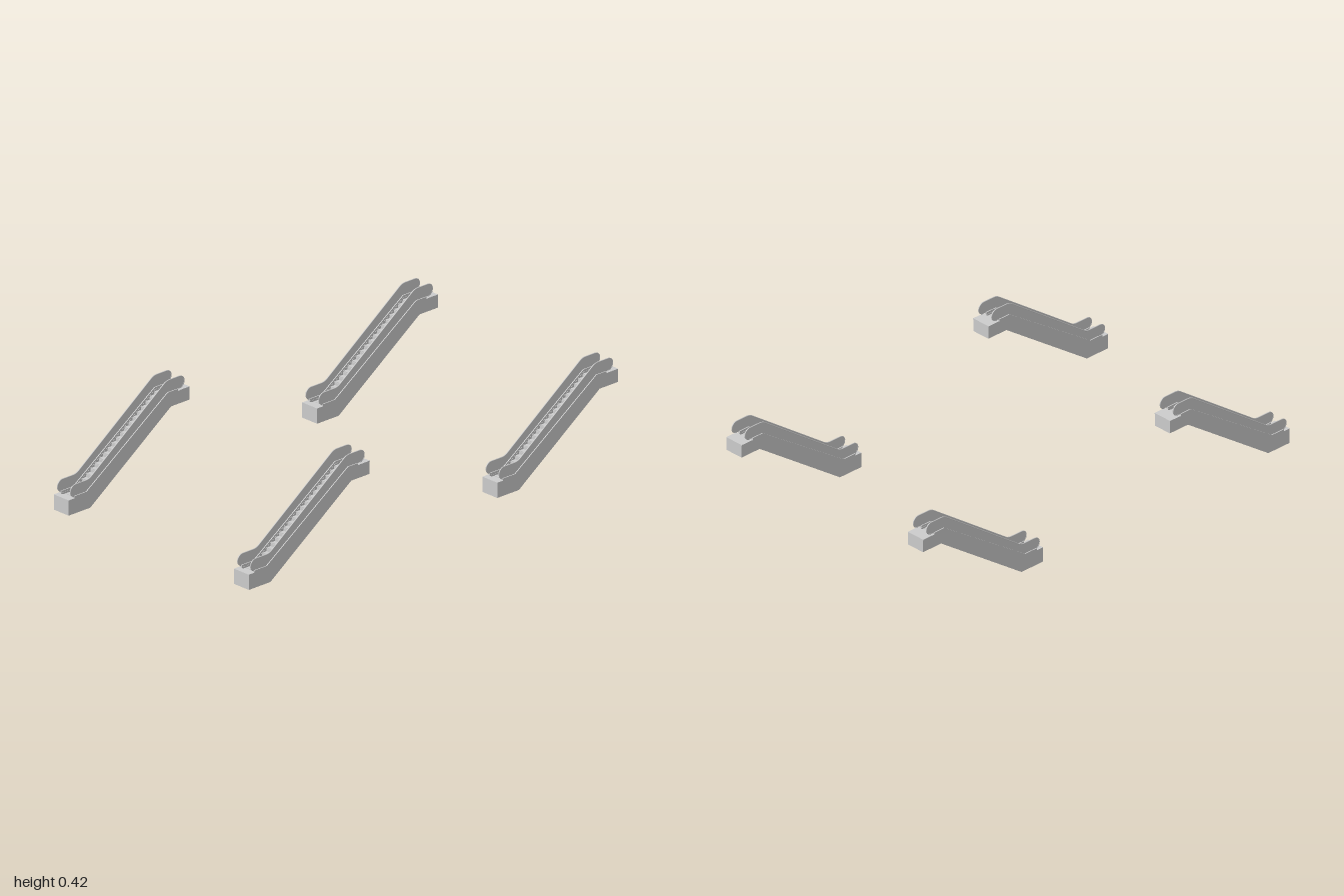
import * as THREE from 'three';

const material = new THREE.MeshStandardMaterial({ color: 0xcccccc });
const WALL = 0.012, HALF = 0.0425, RAIL_Z = 0.037;

// Top and underside lines of the truss, low end at -x
const TOP = [[-0.327, 0.065], [-0.23, 0.065], [0.211, 0.36], [0.327, 0.36]];
const UNDER = [[0.327, 0.305], [0.228, 0.305], [-0.21, 0], [-0.327, 0]];

function topAt(x) {
  const t = THREE.MathUtils.clamp((x - TOP[1][0]) / (TOP[2][0] - TOP[1][0]), 0, 1);
  return THREE.MathUtils.lerp(TOP[1][1], TOP[2][1], t);
}

// Extrudes a side profile across z, centred on the given z
function slab(name, shape, z, width) {
  const geometry = new THREE.ExtrudeGeometry(shape, { depth: width, bevelEnabled: false, curveSegments: 12 });
  geometry.translate(0, 0, z - width / 2);
  const mesh = new THREE.Mesh(geometry, material);
  mesh.name = name;
  return mesh;
}

const polygon = (points) => new THREE.Shape(points.map(([x, y]) => new THREE.Vector2(x, y)));

// Truss core whose top is cut into moving steps between two landings
function stepProfile() {
  const start = -0.3, end = 0.272, count = 25, pitch = (end - start) / count;
  const points = [[-0.327, 0.065], [start, 0.065]];
  for (let i = 0; i < count; i++) {
    const x = start + i * pitch;
    const y = topAt(x + pitch / 2) - 0.007;
    points.push([x + 0.0005, y - 0.004], [x + 0.003, y - 0.004], [x + 0.003, y], [x + pitch, y]);
  }
  points.push([end + 0.0005, 0.36], [0.327, 0.36], ...UNDER);
  return polygon(points);
}

// Raised trim along the upper edge of each side wall
function skirtProfile() {
  const xs = [-0.295, -0.23, 0.211, 0.265];
  return polygon([
    ...xs.map((x) => [x, topAt(x) - 0.002]),
    ...xs.map((x) => [x, topAt(x) + 0.009]).reverse(),
  ]);
}

// Balustrade outline: rounded at both ends
function balustradeProfile() {
  const shape = new THREE.Shape();
  shape.moveTo(-0.287, 0.07);
  shape.lineTo(-0.222, 0.07);
  shape.lineTo(0.215, 0.366);
  shape.lineTo(0.278, 0.368);
  shape.absarc(0.278, 0.393, 0.025, -Math.PI / 2, Math.PI / 2, false);
  shape.lineTo(0.225, 0.418);
  shape.quadraticCurveTo(0.208, 0.418, 0.195, 0.409);
  shape.lineTo(-0.2, 0.129);
  shape.quadraticCurveTo(-0.213, 0.12, -0.23, 0.12);
  shape.lineTo(-0.287, 0.12);
  shape.absarc(-0.287, 0.095, 0.025, Math.PI / 2, Math.PI * 1.5, false);
  return shape;
}

// Handrail tube following the rim of the balustrade
function handrail(z) {
  const rim = balustradeProfile().getPoints(8).slice(3);
  const path = new THREE.CurvePath();
  for (let i = 1; i < rim.length; i++) {
    if (rim[i].distanceTo(rim[i - 1]) < 1e-5) continue;
    path.add(new THREE.LineCurve3(
      new THREE.Vector3(rim[i - 1].x, rim[i - 1].y, z),
      new THREE.Vector3(rim[i].x, rim[i].y, z)));
  }
  const mesh = new THREE.Mesh(new THREE.TubeGeometry(path, 120, 0.0025, 6), material);
  mesh.name = 'handrail';
  return mesh;
}

function escalator() {
  const group = new THREE.Group();
  group.name = 'escalator';
  group.add(slab('stepsAndTruss', stepProfile(), 0, 2 * (HALF - WALL)));
  for (const side of [-1, 1]) {
    group.add(
      slab('sideWall', polygon([...TOP, ...UNDER]), side * (HALF - WALL / 2), WALL),
      slab('skirt', skirtProfile(), side * RAIL_Z, 0.011),
      slab('balustrade', balustradeProfile(), side * RAIL_Z, 0.003),
      handrail(side * RAIL_Z));
  }
  // Upper landing plate
  const plate = new THREE.Mesh(new THREE.BoxGeometry(0.055, 0.004, 0.088), material);
  plate.name = 'landingPlate';
  plate.position.set(0.2995, 0.36, 0);
  group.add(plate);
  return group;
}

export function createModel() {
  const model = new THREE.Group();
  model.name = 'escalators';
  const unit = escalator();
  for (const x of [-0.673, 0.673]) {
    for (const z of [-0.515, 0.515]) {
      const copy = unit.clone();
      copy.position.set(x, 0, z);
      model.add(copy);
    }
  }
  return model;
}
